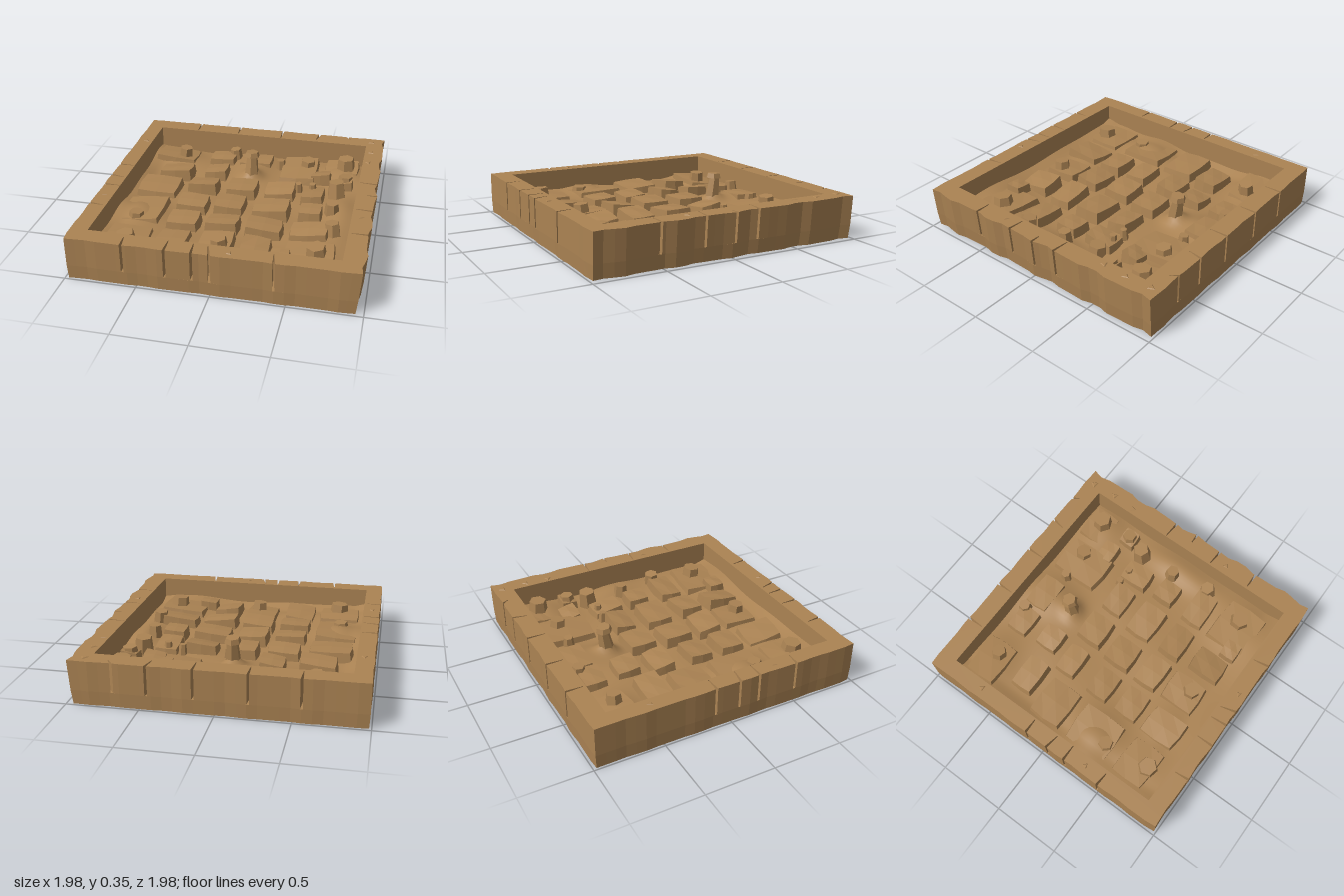
import * as THREE from 'three';

const sandstone = new THREE.MeshStandardMaterial({ color: 0xab8353 });
sandstone.name = 'sandstone';

let seed = 7;
const rnd = () => { seed = (seed * 16807) % 2147483647; return seed / 2147483647 - 0.5; };
const gauss = (x, z, cx, cz, rx, rz) => Math.exp(-(((x - cx) / rx) ** 2) - ((z - cz) / rz) ** 2);

// Four sides, counter-clockwise seen from above: distance, wobble, cracks [position, depth, skew]
const SIDES = [
  { d: 0.984, w: 0.004, at: (t, o) => [t, -o], cracks: [[-0.59, 0.1, -0.01], [-0.3, 0.12, 0], [-0.12, 0.12, -0.01], [0, 0.11, -0.03], [0.42, 0.11, -0.02]] },
  { d: 0.975, w: 0.012, at: (t, o) => [o, t], cracks: [[-0.52, 0.12, 0], [-0.2, 0.12, 0.01], [0.02, 0.06, 0], [0.2, 0.13, 0.01]] },
  { d: 0.986, w: 0.004, at: (t, o) => [-t, o], cracks: [[-0.68, 0.05, -0.03], [-0.45, 0.1, 0.02], [-0.14, 0.13, 0], [0.22, 0.12, 0], [0.56, 0.12, 0]] },
  { d: 0.988, w: 0.003, at: (t, o) => [-o, -t], cracks: [[-0.12, 0.11, 0], [0.06, 0.11, 0.02], [0.21, 0.12, 0], [0.5, 0.1, 0.01]] },
];

function outline(withCracks) {
  const pts = [];
  SIDES.forEach((s, k) => {
    const cracks = withCracks ? s.cracks : [];
    const edge = (t) => s.d + s.w * (Math.sin(t * 17 + k * 2) * 0.7 + Math.sin(t * 31 + k) * 0.5);
    const list = [];
    for (let t = -0.98; t < 0.97; t += 0.07) {
      if (!cracks.some(c => Math.abs(c[0] - t) < 0.025)) list.push([t, edge(t)]);
    }
    cracks.forEach(([t, depth, skew]) => list.push(
      [t - 0.009, edge(t)], [t - 0.003 + skew, s.d - depth], [t + 0.003 + skew, s.d - depth], [t + 0.009, edge(t)]));
    list.sort((a, b) => a[0] - b[0]);
    // keep skewed crack corners in drawing order
    if (cracks.length) {
      const plain = list.filter(p => !cracks.some(c => Math.abs(c[0] - p[0]) < 0.05 && p[1] < s.d - 0.04)
        && !cracks.some(c => Math.abs(Math.abs(c[0] - p[0]) - 0.009) < 1e-6));
      list.length = 0;
      const marks = [...plain.map(p => [p[0], [p]]), ...cracks.map(([t, depth, skew]) => [t, [
        [t - 0.009, edge(t)], [t - 0.003 + skew, s.d - depth], [t + 0.003 + skew, s.d - depth], [t + 0.009, edge(t)]]])];
      marks.sort((a, b) => a[0] - b[0]).forEach(m => list.push(...m[1]));
    }
    list.forEach(([t, o]) => pts.push(new THREE.Vector2(...s.at(t, o))));
  });
  return pts;
}

// Extruded slab lying flat; the right side leans outward toward the top
function slab(name, shape, y0, y1) {
  const geo = new THREE.ExtrudeGeometry(shape, { depth: y1 - y0, bevelEnabled: false });
  geo.rotateX(-Math.PI / 2).translate(0, y0, 0);
  const p = geo.attributes.position;
  for (let i = 0; i < p.count; i++) {
    const low = 1 - p.getY(i) / 0.31;
    if (p.getX(i) > 0.9) p.setX(i, p.getX(i) - 0.022 * low);
    if (p.getY(i) < 0.01) { p.setX(i, p.getX(i) * 0.995); p.setZ(i, p.getZ(i) * 0.995); }
  }
  geo.computeVertexNormals();
  return named(name, geo);
}

function named(name, geo) {
  const mesh = new THREE.Mesh(geo, sandstone);
  mesh.name = name;
  return mesh;
}

// Height of the dirt floor: low joints with banks of drifted dirt
function dirt(x, z) {
  let h = 0.118 + 0.006 * Math.sin(x * 9 + z * 4) + 0.005 * Math.sin(z * 13 - x * 5);
  const banks = [
    [-0.67, -0.7, 0.2, 0.15, 0.05], [-0.02, -0.64, 0.16, 0.2, 0.06], [0.7, -0.68, 0.17, 0.17, 0.05],
    [-0.7, 0.25, 0.18, 0.2, 0.06], [-0.65, 0.65, 0.22, 0.17, 0.04], [0.62, 0.64, 0.22, 0.18, 0.05],
    [-0.02, -0.46, 0.07, 0.07, 0.07], [0.74, 0, 0.1, 0.35, 0.04], [-0.35, 0.62, 0.15, 0.13, 0.03],
  ];
  banks.forEach(([cx, cz, rx, rz, k]) => { h += k * gauss(x, z, cx, cz, rx, rz); });
  return h + 0.04 * Math.max(0, (z - 0.74) / 0.12) + 0.03 * Math.max(0, (-x - 0.78) / 0.1);
}

// Tapered cobble with jittered corners and a slightly tilted top
function cobble([x0, x1, z0, z1, top]) {
  const geo = new THREE.BoxGeometry(1, 1, 1, 2, 1, 2);
  const p = geo.attributes.position;
  const cx = (x0 + x1) / 2, cz = (z0 + z1) / 2, w = x1 - x0, d = z1 - z0;
  const a = rnd() * 0.06, b = rnd() * 0.06, skew = rnd() * 0.12, bend = rnd() * 0.12;
  for (let i = 0; i < p.count; i++) {
    const u = p.getX(i), v = p.getZ(i), up = p.getY(i) > 0;
    const corner = Math.abs(u) > 0.4 && Math.abs(v) > 0.4 ? 0.94 : 1;
    const s = corner * (up ? 1 : 1.12);
    const mid = up && u === 0 && v === 0 ? 0.006 : 0;
    p.setXYZ(i, cx + w * s * (u + skew * v * v), up ? top + a * u + b * v + mid : 0.09, cz + d * s * (v + bend * u));
  }
  const flat = geo.toNonIndexed();
  flat.computeVertexNormals();
  return named('cobble', flat);
}

// Six-sided worn stub of stone
function stub([x, z, r, top]) {
  const geo = new THREE.CylinderGeometry(r * 0.85, r * 1.1, top - 0.1, 6, 1).toNonIndexed();
  geo.rotateY(rnd() * 2).rotateX(rnd() * 0.2).rotateZ(rnd() * 0.2);
  geo.translate(x, (top + 0.1) / 2, z);
  geo.computeVertexNormals();
  return named('stub', geo);
}

export function createModel() {
  const model = new THREE.Group();
  model.name = 'stoneTray';

  // Solid base and cracked rim
  model.add(slab('base', new THREE.Shape(outline(false)), 0, 0.1));
  const rim = new THREE.Shape(outline(true));
  rim.holes.push(new THREE.Path([[-0.865, -0.85], [-0.87, 0.85], [0.84, 0.845], [0.835, -0.855]].map(q => new THREE.Vector2(...q))));
  model.add(slab('rim', rim, 0.1, 0.31));

  // Dirt floor
  const floor = new THREE.PlaneGeometry(1.72, 1.72, 60, 60).rotateX(-Math.PI / 2).translate(-0.015, 0, 0);
  const fp = floor.attributes.position;
  for (let i = 0; i < fp.count; i++) fp.setY(i, dirt(fp.getX(i), fp.getZ(i)));
  floor.computeVertexNormals();
  model.add(named('dirtFloor', floor));

  // Cobbles: x range, z range, top height
  const cobbles = new THREE.Group();
  cobbles.name = 'cobbles';
  [
    [-0.84, -0.52, -0.82, -0.58, 0.165], [-0.4, -0.2, -0.78, -0.62, 0.18], [-0.16, 0.1, -0.8, -0.62, 0.17],
    [0.2, 0.48, -0.8, -0.44, 0.175], [0.54, 0.8, -0.82, -0.62, 0.165], [-0.73, -0.48, -0.48, -0.31, 0.19],
    [-0.38, -0.21, -0.53, -0.36, 0.19], [0.45, 0.6, -0.59, -0.46, 0.19], [0.66, 0.78, -0.52, -0.4, 0.19],
    [-0.82, -0.52, -0.24, 0.01, 0.18], [-0.45, -0.23, -0.29, -0.13, 0.19], [-0.15, 0.07, -0.32, -0.12, 0.19],
    [0.14, 0.36, -0.3, -0.14, 0.19], [0.42, 0.58, -0.34, -0.12, 0.18], [-0.46, -0.24, 0, 0.17, 0.185],
    [-0.18, 0.03, -0.05, 0.16, 0.19], [0.1, 0.36, -0.05, 0.15, 0.19], [0.44, 0.6, -0.04, 0.12, 0.19],
    [-0.83, -0.53, 0.08, 0.42, 0.17], [-0.46, -0.24, 0.25, 0.43, 0.185], [-0.18, 0.05, 0.23, 0.41, 0.19],
    [0.11, 0.36, 0.24, 0.41, 0.19], [0.42, 0.68, 0.23, 0.4, 0.185], [-0.82, -0.52, 0.5, 0.75, 0.17],
    [-0.47, -0.25, 0.49, 0.76, 0.175], [-0.17, 0.06, 0.46, 0.72, 0.17], [0.13, 0.32, 0.5, 0.74, 0.18],
    [0.34, 0.47, 0.63, 0.75, 0.2], [0.42, 0.76, 0.47, 0.78, 0.17],
  ].forEach(c => cobbles.add(cobble(c)));
  model.add(cobbles);

  // Stubs: x, z, radius, top height
  const stubs = new THREE.Group();
  stubs.name = 'stubs';
  [
    [-0.62, -0.68, 0.06, 0.23], [-0.21, -0.76, 0.05, 0.22], [0.4, -0.67, 0.065, 0.23], [0.7, -0.71, 0.075, 0.25],
    [0.72, -0.46, 0.06, 0.22], [0.67, -0.31, 0.07, 0.24], [0.67, -0.02, 0.055, 0.22], [0.71, 0.28, 0.06, 0.23],
    [-0.66, 0.7, 0.075, 0.23], [-0.02, 0.63, 0.065, 0.23], [0.64, 0.61, 0.075, 0.24], [0.18, -0.67, 0.04, 0.2],
    [-0.7, 0.36, 0.06, 0.2], [0.38, -0.31, 0.03, 0.2], [0.49, -0.3, 0.03, 0.21],
  ].forEach(s => stubs.add(stub(s)));
  model.add(stubs);

  // Leaning post with a cap
  const post = new THREE.CylinderGeometry(0.04, 0.06, 0.2, 6).toNonIndexed();
  post.rotateX(-0.15).translate(-0.02, 0.23, -0.47);
  post.computeVertexNormals();
  model.add(named('post', post));
  const cap = new THREE.CylinderGeometry(0.05, 0.062, 0.036, 6).toNonIndexed();
  cap.rotateX(-0.08).translate(-0.02, 0.328, -0.475);
  cap.computeVertexNormals();
  model.add(named('postCap', cap));

  // Small chips on the rim top
  [[-0.92, -0.57, 0.03], [-0.93, 0.36, 0.025], [0.9, 0.3, 0.025], [0.88, -0.55, 0.03], [0.88, -0.92, 0.035], [0.12, 0.93, 0.025], [0.89, -0.73, 0.03]]
    .forEach(([x, z, r]) => {
      const chip = new THREE.CylinderGeometry(r * 0.6, r, 0.006, 3).toNonIndexed();
      chip.rotateY(rnd() * 6).translate(x, 0.312, z);
      chip.computeVertexNormals();
      model.add(named('rimChip', chip));
    });
  return model;
}
